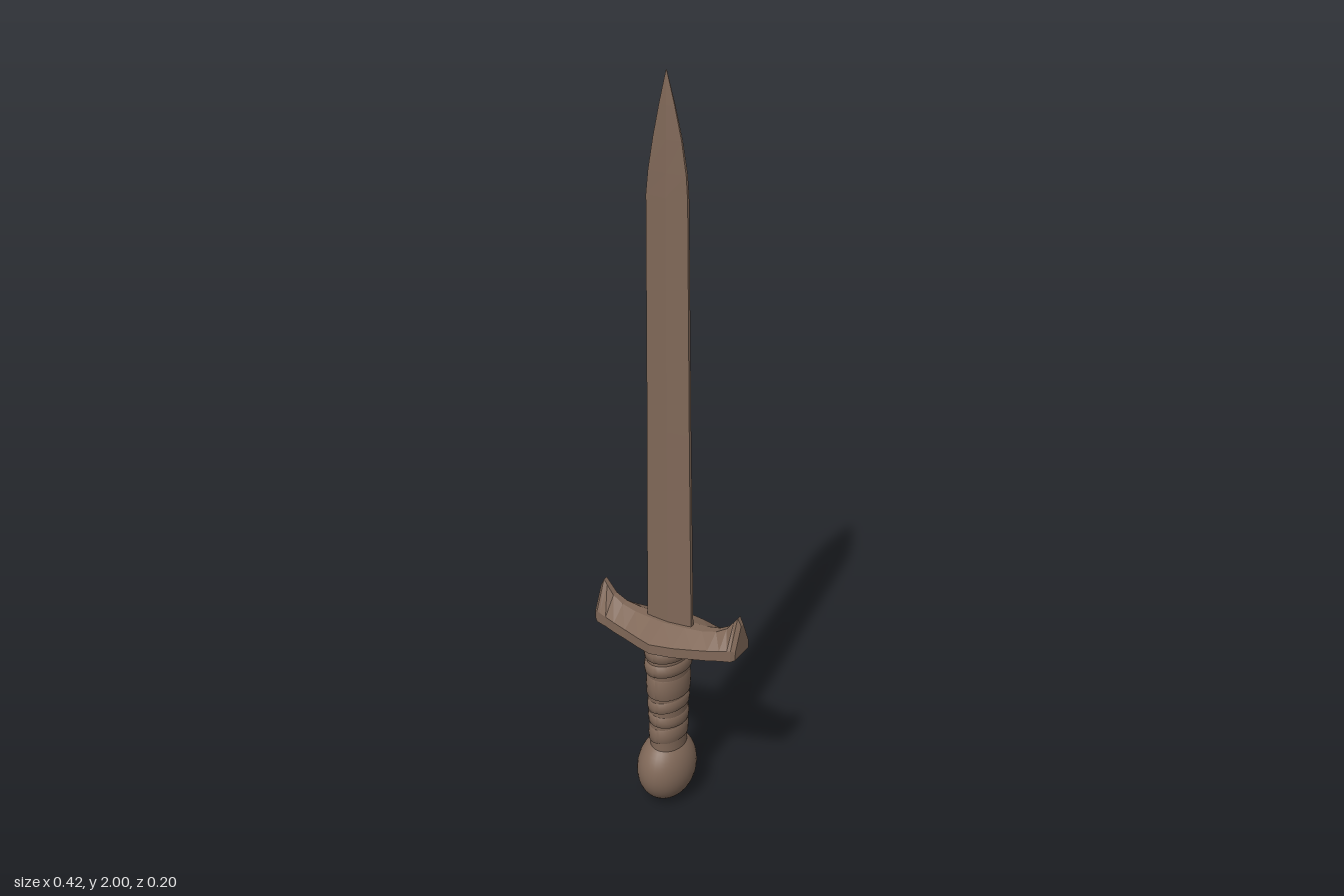
import * as THREE from 'three';

// Skin a list of rings (each counter-clockwise seen from the loft direction), with flat caps
function loft(rings) {
  const n = rings[0].length, pos = [], tri = (...p) => p.forEach(v => pos.push(...v));
  for (let i = 0; i < rings.length - 1; i++) {
    for (let j = 0; j < n; j++) {
      const k = (j + 1) % n;
      const a = rings[i][j], b = rings[i][k], c = rings[i + 1][k], d = rings[i + 1][j];
      tri(a, b, c);
      tri(a, c, d);
    }
  }
  const first = rings[0], last = rings[rings.length - 1];
  for (let j = 1; j < n - 1; j++) {
    tri(first[0], first[j + 1], first[j]);
    tri(last[0], last[j], last[j + 1]);
  }
  const g = new THREE.BufferGeometry();
  g.setAttribute('position', new THREE.Float32BufferAttribute(pos, 3));
  g.computeVertexNormals();
  return g;
}

export function createModel() {
  const group = new THREE.Group();
  const bronze = new THREE.MeshStandardMaterial({ color: 0x806858 });
  bronze.name = 'agedBronze';
  const add = (name, geometry) => {
    const mesh = new THREE.Mesh(geometry, bronze);
    mesh.name = name;
    group.add(mesh);
    return mesh;
  };

  // Blade: six-sided section with a central ridge; [y, left x, right x, ridge z, edge z]
  const blade = [
    [0.53, -0.068, 0.064, 0.013, 0.006],
    [1.10, -0.066, 0.055, 0.012, 0.005],
    [1.70, -0.066, 0.047, 0.010, 0.004],
    [1.76, -0.060, 0.043, 0.009, 0.004],
    [1.84, -0.047, 0.030, 0.008, 0.003],
    [1.92, -0.031, 0.011, 0.005, 0.002],
    [2.00, -0.013, -0.011, 0.001, 0.0005],
  ];
  add('blade', loft(blade.map(([y, l, r, z, e]) => {
    const m = (l + r) / 2;
    return [[r, y, e], [r, y, -e], [m, y, -z], [l, y, -e], [l, y, e], [m, y, z]];
  })));

  // Crossguard: diamond in plan, sloped shoulders, ends swept up into horns
  // [x, half depth, bottom y, shoulder y, ridge half depth, ridge y]
  const half = [
    [0.050, 0.084, 0.500, 0.528, 0.018, 0.555],
    [0.100, 0.068, 0.502, 0.530, 0.014, 0.558],
    [0.140, 0.058, 0.505, 0.534, 0.011, 0.567],
    [0.170, 0.050, 0.509, 0.538, 0.009, 0.584],
    [0.190, 0.046, 0.511, 0.542, 0.008, 0.610],
    [0.200, 0.044, 0.512, 0.544, 0.007, 0.623],
    [0.210, 0.036, 0.516, 0.540, 0.006, 0.602],
  ];
  const guard = [
    ...half.map(([x, ...rest]) => [-x, ...rest]).reverse(),
    [-0.01, 0.096, 0.500, 0.527, 0.022, 0.555],
    ...half,
  ];
  add('crossguard', loft(guard.map(([x, w, yb, ym, r, yt]) => [
    [x, yt, r], [x, ym, w], [x, yb, w], [x, yb, -w], [x, ym, -w], [x, yt, -r],
  ])));

  // Grip core: oval, flaring towards the guard
  const coreRadius = y => 0.061 + 0.012 * THREE.MathUtils.smoothstep(y, 0.2, 0.5);
  const oval = (name, profile) => {
    const mesh = add(name, new THREE.LatheGeometry(
      profile.map(([r, y]) => new THREE.Vector2(r, y)), 32));
    mesh.scale.x = 0.74;
    mesh.position.x = -0.007;
    return mesh;
  };
  oval('gripCore', [0.17, 0.25, 0.32, 0.40, 0.46, 0.51].map(y => [coreRadius(y), y]));

  // Leather wraps: rounded bands, the lower ones slightly tilted; [bottom, top, tilt]
  const bands = [
    [0.197, 0.246, 0.06], [0.251, 0.289, -0.07], [0.294, 0.333, 0.07],
    [0.339, 0.407, -0.03], [0.412, 0.452, 0.03], [0.457, 0.500, 0],
  ];
  bands.forEach(([y0, y1, tilt], i) => {
    const r = coreRadius((y0 + y1) / 2), bulge = i > 3 ? 0.008 : 0.005;
    const band = oval('gripWrap' + (i + 1), [
      [r - 0.004, y0], [r + bulge * 0.7, y0 + 0.005], [r + bulge, (y0 + y1) / 2],
      [r + bulge * 0.7, y1 - 0.005], [r - 0.004, y1],
    ]);
    // Shear each band so it leans like a wound strap
    const p = band.geometry.attributes.position;
    for (let v = 0; v < p.count; v++) p.setY(v, p.getY(v) + tilt * p.getX(v));
    band.geometry.computeVertexNormals();
  });

  // Pommel: ball flattened sideways
  const pommel = add('pommel', new THREE.SphereGeometry(1, 32, 24));
  pommel.scale.set(0.075, 0.1, 0.098);
  pommel.position.set(-0.012, 0.1, 0);

  return group;
}
